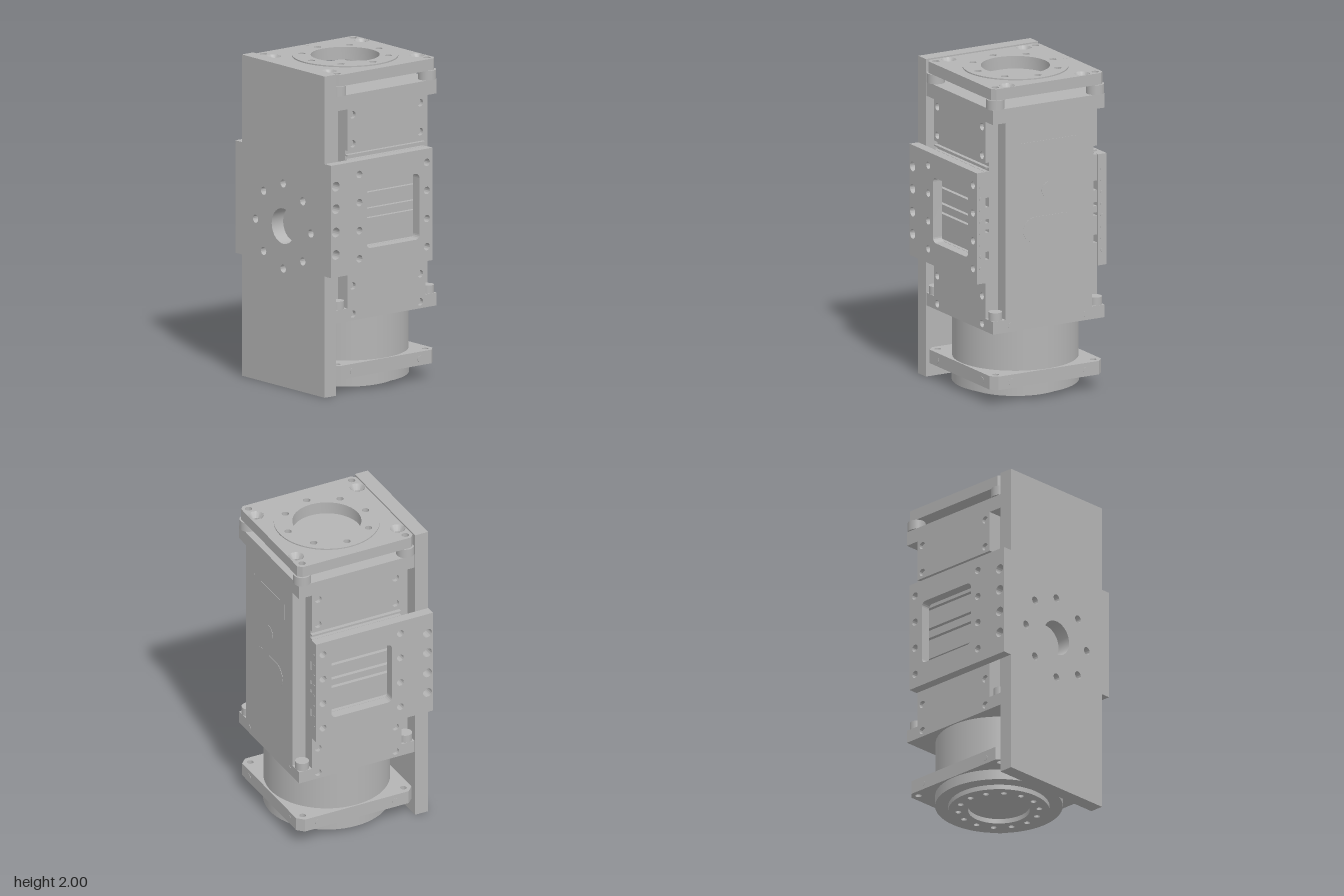
import * as THREE from 'three';
import { toCreasedNormals } from 'three/addons/utils/BufferGeometryUtils.js';

const H = 0.395;        // half width of the square housing
const INNER = 0.305;    // housing half width inside the corner notches
const BOLT = 0.353;     // corner bolt offset
const SCREW = 0.265;    // screw offset and bolt circle radius

export function createModel() {
  const metal = new THREE.MeshStandardMaterial({ color: 0xb4b4b4 });
  const metalOpen = metal.clone();
  metalOpen.side = THREE.DoubleSide;

  const model = new THREE.Group();
  model.name = 'actuatorModule';
  model.rotation.y = -0.026;
  const housing = new THREE.Group();
  housing.name = 'housing';
  housing.position.z = -0.047;
  model.add(housing);

  const add = (name, geo, x = 0, y = 0, z = 0, parent = housing, mat = metal) => {
    const mesh = new THREE.Mesh(geo, mat);
    mesh.name = name;
    mesh.position.set(x, y, z);
    parent.add(mesh);
    return mesh;
  };
  const polygon = (pts) => new THREE.Shape(pts.map(([x, y]) => new THREE.Vector2(x, y)));
  const rect = (x0, y0, x1, y1) => polygon([[x0, y0], [x1, y0], [x1, y1], [x0, y1]]);
  const chamferedSquare = (h, c) => polygon([
    [-h + c, -h], [h - c, -h], [h, -h + c], [h, h - c],
    [h - c, h], [-h + c, h], [-h, h - c], [-h, -h + c]]);
  const disc = (r) => new THREE.Shape().absarc(0, 0, r, 0, Math.PI * 2, false);
  const drill = (shape, x, y, r) =>
    shape.holes.push(new THREE.Path().absarc(x, y, r, 0, Math.PI * 2, true));
  const drillCircle = (shape, n, radius, r, y = 0) => {
    for (let i = 0; i < n; i++) {
      const a = (i / n) * Math.PI * 2;
      drill(shape, Math.cos(a) * radius, y + Math.sin(a) * radius, r);
    }
  };
  const extrude = (shape, depth) => toCreasedNormals(new THREE.ExtrudeGeometry(shape,
    { depth, bevelEnabled: false, curveSegments: 32 }), 0.5);
  const extrudeUp = (shape, depth) => extrude(shape, depth).rotateX(-Math.PI / 2);
  const cylinder = (r, h, seg = 32) => new THREE.CylinderGeometry(r, r, h, seg);
  const corners = [[-1, -1], [1, -1], [1, 1], [-1, 1]];

  // Front mounting plate with centre bore and bolt circle
  const front = rect(-0.397, 0, 0.397, 2);
  drill(front, 0, 1, 0.11);
  drillCircle(front, 8, SCREW, 0.025, 1);
  add('frontPlate', extrude(front, 0.09), 0, 0, 0.35, model);

  // Housing core, cross-shaped so the corner notches stay open
  const w = 0.37;
  const core = polygon([[-INNER, -H], [INNER, -H], [INNER, -INNER], [w, -INNER],
    [w, INNER], [INNER, INNER], [INNER, H], [-INNER, H],
    [-INNER, INNER], [-w, INNER], [-w, -INNER], [-INNER, -INNER]]);
  add('housingCore', extrudeUp(core, 1.41), 0, 0.45, 0);

  // Corner blocks, spacer posts and bolt heads
  const block = H - INNER;
  for (const [sx, sz] of corners) {
    const c = (H + INNER) / 2;
    add('lowerCornerBlock', new THREE.BoxGeometry(block, 0.08, block), sx * c, 0.49, sz * c);
    add('upperCornerBlock', new THREE.BoxGeometry(block, 0.09, block), sx * c, 1.815, sz * c);
    add('spacerPost', cylinder(0.055, 0.06), sx * BOLT, 1.89, sz * BOLT);
    add('boltHead', cylinder(0.042, 0.05), sx * BOLT, 0.555, sz * BOLT);
  }

  // Side covers split by cooling grooves, and the windowed side brackets
  const strips = [[0.45, 0.9], [0.95, 1.07], [1.09, 1.13], [1.155, 1.23],
    [1.29, 1.455], [1.475, 1.485], [1.51, 1.86]];
  const screwRows = [0.49, 0.665, 0.845, 1.55, 1.73];
  for (const s of [-1, 1]) {
    const sideways = (shape, depth) => extrude(shape, depth).rotateY(s * Math.PI / 2);
    for (const [y0, y1] of strips) {
      const strip = rect(-INNER, y0, INNER, y1);
      for (const y of screwRows) if (y > y0 && y < y1) {
        drill(strip, -SCREW, y, 0.023);
        drill(strip, SCREW, y, 0.023);
      }
      add('sideCover', sideways(strip, H - w), s * w, 0, 0);
    }

    const bracket = rect(Math.min(s * 0.311, -s * 0.487), 0.755, Math.max(s * 0.311, -s * 0.487), 1.455);
    const a = 0.207, b = 0.205, r = 0.03, cy = 1.105;
    const win = new THREE.Path();
    win.absarc(-a + r, cy - b + r, r, -Math.PI / 2, -Math.PI, true);
    win.absarc(-a + r, cy + b - r, r, Math.PI, Math.PI / 2, true);
    win.absarc(a - r, cy + b - r, r, Math.PI / 2, 0, true);
    win.absarc(a - r, cy - b + r, r, 0, -Math.PI / 2, true);
    bracket.holes.push(win);
    for (const y of [0.845, 1.02, 1.195, 1.37]) {
      drill(bracket, -SCREW, y, 0.023);
      drill(bracket, SCREW, y, 0.023);
    }
    for (const y of [0.895, 1.035, 1.18, 1.32]) drill(bracket, -s * 0.45, y, 0.03);
    add('sideBracket', sideways(bracket, 0.062), s * 0.397, 0, 0);

    for (let i = 0; i < 8; i++) {
      add('bracketPin', cylinder(0.011, 0.004, 16).rotateX(Math.PI / 2),
        s * 0.428, 0.85 + i * 0.073, -0.311);
    }

    // Small screws on the flange sides and the back face
    for (const t of [-SCREW, SCREW]) {
      add('flangeScrew', cylinder(0.02, 0.004, 24).rotateZ(Math.PI / 2), s * H, 0.135, t);
    }
    for (const y of [0.135, 0.49]) {
      add('backScrew', cylinder(0.02, 0.004, 24).rotateX(Math.PI / 2), s * SCREW, y, -H);
    }
  }

  // Thin panels on the back face
  add('backLabel', new THREE.BoxGeometry(0.4, 0.11, 0.004), 0, 1.57, -H);
  add('backButton', cylinder(0.05, 0.004).rotateX(Math.PI / 2), 0, 1.31, -H);
  const slot = new THREE.Shape();
  slot.absarc(0.1, 0, 0.08, -Math.PI / 2, Math.PI / 2, false);
  slot.absarc(-0.1, 0, 0.08, Math.PI / 2, Math.PI * 1.5, false);
  add('backSlotCover', extrude(slot, 0.004), 0, 1.07, -H - 0.002);

  // Top plate with countersunk screws and raised output ring
  const top = chamferedSquare(H, 0.025);
  drill(top, 0, 0, 0.213);
  drillCircle(top, 8, SCREW, 0.022);
  for (const [sx, sz] of corners) {
    drill(top, sx * BOLT, sz * BOLT, 0.022);
    drill(top, sx * SCREW, sz * 0.347, 0.047);
    const sink = [[0.047, 0], [0.023, -0.035], [0.023, -0.068], [0, -0.068]]
      .map(([x, y]) => new THREE.Vector2(x, y));
    add('countersink', toCreasedNormals(new THREE.LatheGeometry(sink, 32), 0.5),
      sx * SCREW, 1.992, sz * 0.347, housing, metalOpen);
  }
  add('topPlate', extrudeUp(top, 0.072), 0, 1.92, 0);
  const ring = disc(0.323);
  drill(ring, 0, 0, 0.21);
  drillCircle(ring, 8, SCREW, 0.022);
  add('topRing', extrudeUp(ring, 0.008), 0, 1.992, 0);
  add('indexMark', new THREE.BoxGeometry(0.06, 0.003, 0.004), -0.358, 1.992, 0);

  // Lower drum, flange and output ring
  add('lowerDrum', cylinder(0.385, 0.28, 64), 0, 0.315, 0);
  const flange = chamferedSquare(H, 0.04);
  for (const [sx, sz] of corners) drill(flange, sx * 0.345, sz * 0.345, 0.02);
  add('lowerFlange', extrudeUp(flange, 0.085), 0, 0.095, 0);
  add('lowerDisc', cylinder(0.388, 0.07, 64), 0, 0.065, 0);
  const output = disc(0.308);
  drill(output, 0, 0, 0.187);
  drillCircle(output, 14, 0.247, 0.018);
  add('outputRing', extrudeUp(output, 0.031), 0, 0, 0);

  return model;
}
